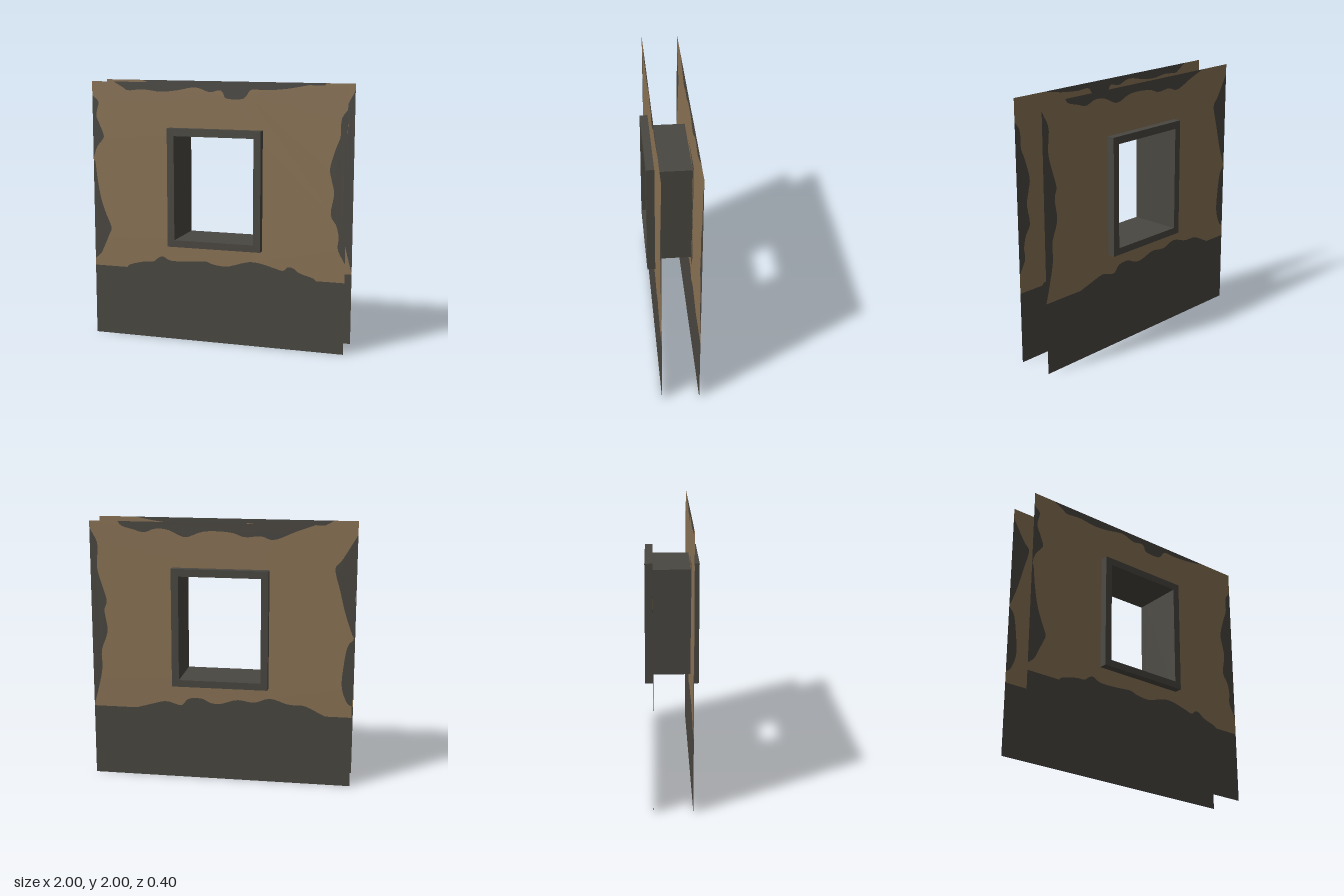
import * as THREE from 'three';

const plaster = new THREE.MeshStandardMaterial({ color: 0x8b7355, side: THREE.DoubleSide });
plaster.name = 'brown plaster';
const stone = new THREE.MeshStandardMaterial({ color: 0x4a4741, side: THREE.DoubleSide });
stone.name = 'dark stone';

const BASE = 0.55; // height of the stone plinth
const SHEET_Z = 0.14; // distance of each wall sheet from the centre
const TRIM = 0.06;
const OPEN = { w: 0.625, bottom: 0.803, top: 1.603 };

// Worn plaster borders, clockwise as seen from outside: x, y
const frontWear = {
  top: [[-.82, 2], [-.74, 1.955], [-.7, 1.935], [-.58, 1.945], [-.44, 1.93], [-.31, 1.942], [-.16, 1.968], [-.05, 1.935],
    [.03, 1.95], [.06, 1.93], [.075, 1.895], [.13, 1.885], [.21, 1.89], [.245, 1.92], [.28, 1.96], [.385, 1.957], [.545, 1.97], [.71, 2]],
  right: [[1, 1.83], [.955, 1.76], [.95, 1.635], [.92, 1.555], [.877, 1.405], [.89, 1.315], [.91, 1.21], [.887, 1.06],
    [.93, .98], [.95, .89], [.945, .8], [1, .695]],
  bottom: [[.785, .55], [.76, .57], [.66, .6], [.61, .635], [.57, .64], [.53, .61], [.465, .625], [.37, .65], [.29, .66],
    [.225, .65], [.145, .625], [.075, .61], [-.02, .62], [-.085, .64], [-.2, .63], [-.36, .625], [-.43, .655], [-.47, .64],
    [-.51, .61], [-.58, .605], [-.7, .575], [-.73, .55]],
  left: [[-1, .605], [-.95, .65], [-.925, .7], [-.88, .8], [-.86, .86], [-.9, .96], [-.94, 1.075], [-.97, 1.235], [-.985, 1.37],
    [-.999, 1.4], [-.97, 1.49], [-.93, 1.54], [-.91, 1.58], [-.94, 1.66], [-.97, 1.74], [-.95, 1.84], [-1, 1.89]],
};
const backWear = {
  top: [[-.78, 2], [-.75, 1.965], [-.66, 1.94], [-.58, 1.92], [-.49, 1.95], [-.39, 1.94], [-.27, 1.89], [-.15, 1.93], [-.05, 1.94],
    [.09, 1.93], [.18, 1.9], [.3, 1.91], [.4, 1.885], [.56, 1.95], [.7, 2]],
  right: [[1, 1.92], [.9, 1.75], [.85, 1.68], [.89, 1.52], [.93, 1.36], [.98, 1.21], [.999, 1.16], [.955, 1.1], [.93, .95],
    [.92, .79], [.96, .67], [1, .64]],
  bottom: [[.8, .55], [.74, .58], [.64, .625], [.52, .63], [.38, .67], [.26, .633], [.126, .647], [0, .61], [-.08, .614],
    [-.15, .646], [-.25, .64], [-.31, .585], [-.425, .612], [-.54, .585], [-.66, .55]],
  left: [[-1, .56], [-.97, .67], [-.93, .85], [-.93, 1], [-.88, 1.15], [-.9, 1.31], [-.88, 1.39], [-.91, 1.5], [-.95, 1.65],
    [-.94, 1.82], [-.985, 1.92], [-1, 1.95]],
};

const vec = ([x, y]) => new THREE.Vector2(x, y);

// Rounded border line kept inside the wall sheet
function border(points) {
  return new THREE.SplineCurve(points.map(vec)).getPoints(points.length * 3).map((p) =>
    vec([THREE.MathUtils.clamp(p.x, -1, 1), THREE.MathUtils.clamp(p.y, BASE, 2)]));
}

function rectangle(Type, w, bottom, top) {
  return new Type([[-w / 2, bottom], [w / 2, bottom], [w / 2, top], [-w / 2, top]].map(vec));
}

function add(parent, name, geometry, material) {
  const mesh = new THREE.Mesh(geometry, material);
  mesh.name = name;
  parent.add(mesh);
  return mesh;
}

function wallSide(name, wear) {
  const side = new THREE.Group();
  side.name = name;
  const [top, right, bottom, left] = ['top', 'right', 'bottom', 'left'].map((key) => border(wear[key]));

  // Plaster field between the worn borders, with the window cut out
  const field = new THREE.Shape([
    ...top, vec([1, 2]), ...right, vec([1, BASE]), ...bottom, vec([-1, BASE]), ...left, vec([-1, 2]),
  ]);
  field.holes.push(rectangle(THREE.Path, OPEN.w, OPEN.bottom, OPEN.top));
  add(side, 'plaster', new THREE.ShapeGeometry(field), plaster).position.z = SHEET_Z;

  // Exposed stone at the edges and the plinth, flush with the plaster
  const exposed = {
    topWear: top,
    rightWear: right,
    leftWear: left,
    plinth: [vec([-1, 0]), vec([1, 0]), vec([1, BASE]), ...bottom, vec([-1, BASE])],
  };
  for (const [part, outline] of Object.entries(exposed)) {
    add(side, part, new THREE.ShapeGeometry(new THREE.Shape(outline)), stone).position.z = SHEET_Z;
  }

  // Raised window trim
  const trim = rectangle(THREE.Shape, 0.735, 0.75, 1.66);
  trim.holes.push(rectangle(THREE.Path, OPEN.w, OPEN.bottom, OPEN.top));
  add(side, 'windowTrim', new THREE.ExtrudeGeometry(trim, { depth: TRIM, bevelEnabled: false }), stone).position.z = SHEET_Z;
  return side;
}

export function createModel() {
  const model = new THREE.Group();
  model.name = 'windowWall';

  const back = wallSide('backSide', backWear);
  back.rotation.y = Math.PI;
  model.add(wallSide('frontSide', frontWear), back);

  // Window lining: a box without its front and back faces
  const lining = new THREE.BoxGeometry(OPEN.w, OPEN.top - OPEN.bottom, SHEET_Z * 2);
  lining.setIndex(Array.from(lining.index.array.slice(0, 24)));
  lining.clearGroups();
  add(model, 'windowLining', lining, stone).position.y = (OPEN.top + OPEN.bottom) / 2;

  return model;
}
